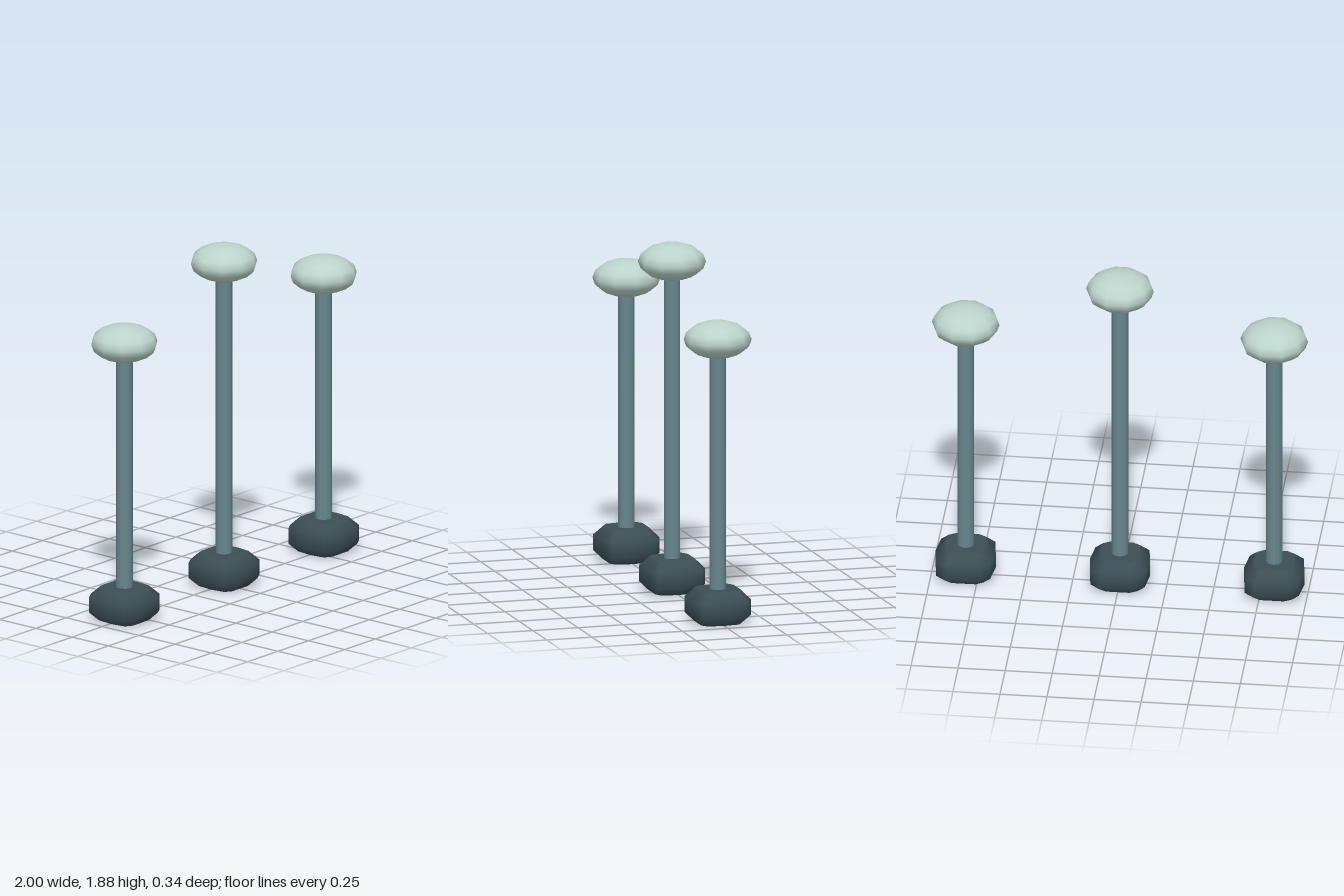
import * as THREE from 'three';

const SIDES = 10;

// Squarish foot: superellipse rings [height, radius] with sharp-edged caps
function footGeometry(rings) {
  const pos = [], index = [];
  const addRing = ([y, r]) => {
    const start = pos.length / 3;
    for (let i = 0; i < SIDES; i++) {
      const a = (i / SIDES) * Math.PI * 2;
      const c = Math.cos(a), s = Math.sin(a);
      pos.push(r * Math.sign(c) * Math.sqrt(Math.abs(c)), y, r * Math.sign(s) * Math.sqrt(Math.abs(s)));
    }
    return start;
  };
  const starts = rings.map(addRing);
  for (let k = 0; k < starts.length - 1; k++) {
    for (let i = 0; i < SIDES; i++) {
      const j = (i + 1) % SIDES;
      const a = starts[k] + i, b = starts[k] + j, c = starts[k + 1] + i, d = starts[k + 1] + j;
      index.push(a, c, b, b, c, d);
    }
  }
  // Caps use their own vertices to keep the rims crisp
  for (const [ring, up] of [[rings[0], false], [rings[rings.length - 1], true]]) {
    const start = addRing(ring);
    const centre = pos.length / 3;
    pos.push(0, ring[0], 0);
    for (let i = 0; i < SIDES; i++) {
      const a = start + i, b = start + (i + 1) % SIDES;
      if (up) index.push(centre, b, a);
      else index.push(centre, a, b);
    }
  }
  const geometry = new THREE.BufferGeometry();
  geometry.setAttribute('position', new THREE.Float32BufferAttribute(pos, 3));
  geometry.setIndex(index);
  geometry.computeVertexNormals();
  return geometry;
}

export function createModel() {
  const material = (name, color) => {
    const m = new THREE.MeshStandardMaterial({ color });
    m.name = name;
    return m;
  };
  const darkSlate = material('dark slate', 0x3c4e55);
  const blueGrey = material('blue grey', 0x68878f);
  const paleMint = material('pale mint', 0xbcd4cb);

  const foot = footGeometry([[0, 0.115], [0.045, 0.16], [0.13, 0.16], [0.18, 0.11]]);
  const cap = new THREE.SphereGeometry(0.18, SIDES, 8).scale(1, 0.1 / 0.18, 1);

  const model = new THREE.Group();
  model.name = 'cappedPosts';

  // Three posts: a tall one between two shorter ones
  const posts = [['leftPost', 0.82, 1.525], ['middlePost', 0, 1.78], ['rightPost', -0.82, 1.525]];
  for (const [name, x, capY] of posts) {
    const post = new THREE.Group();
    post.name = name;
    post.position.x = x;
    const add = (part, geometry, mat, y) => {
      const mesh = new THREE.Mesh(geometry, mat);
      mesh.name = part;
      mesh.position.y = y;
      post.add(mesh);
    };
    const bottom = 0.16, top = capY - 0.06;
    add('foot', foot, darkSlate, 0);
    add('pole', new THREE.CylinderGeometry(0.045, 0.045, top - bottom, SIDES), blueGrey, (top + bottom) / 2);
    add('cap', cap, paleMint, capY);
    model.add(post);
  }
  return model;
}
